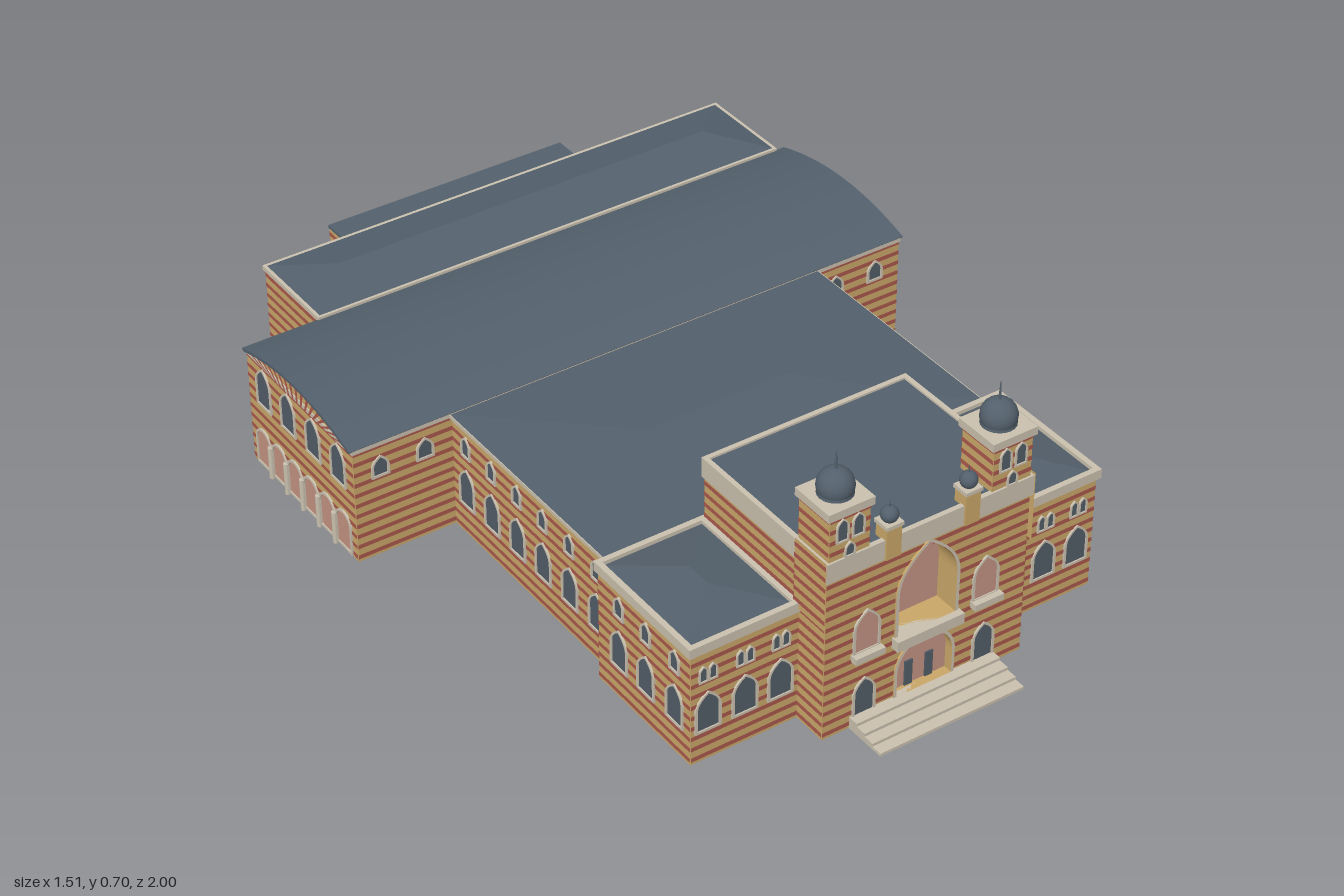
import * as THREE from 'three';
import { mergeGeometries } from 'three/addons/utils/BufferGeometryUtils.js';

const paint = (name, color) => {
  const m = new THREE.MeshStandardMaterial({ color, side: THREE.DoubleSide });
  m.name = name;
  return m;
};
const stone = paint('sandstone', 0xc9a668);
const brick = paint('red brick', 0xa9584b);
brick.side = THREE.FrontSide;
const cream = paint('cream trim', 0xc9c0ae);
const slate = paint('slate', 0x53606c);
const glass = paint('window glass', 0x525c66);
const pink = paint('pink plaster', 0xc29282);

const PITCH = 0.028, BAND = 0.011;

export function createModel() {
  const model = new THREE.Group();
  const add = (name, geo, mat, parent = model) => {
    const m = new THREE.Mesh(geo, mat);
    m.name = name;
    parent.add(m);
    return m;
  };
  // box given by its limits
  const box = (name, mat, x0, x1, y0, y1, z0, z1) =>
    add(name, new THREE.BoxGeometry(x1 - x0, y1 - y0, z1 - z0), mat)
      .position.set((x0 + x1) / 2, (y0 + y1) / 2, (z0 + z1) / 2);

  // arched openings: rise and half width at a height
  const rise = o => Math.min(o.w * (o.round ? 0.5 : 0.75), (o.y1 - o.y0) * 0.7);
  const half = (o, t) => o.w / 2 * (o.round ? Math.sqrt(1 - t * t) : 1 - t ** 2.2);
  const halfAt = (o, y) => half(o, Math.min(1, Math.max(0, (y - o.y1 + rise(o)) / rise(o))));
  const archPoints = o => {
    const r = rise(o), right = [], left = [];
    for (let i = 0; i < 10; i++) {
      const t = i / 10, y = o.y1 - r + r * t;
      right.push(new THREE.Vector2(o.u + half(o, t), y));
      left.unshift(new THREE.Vector2(o.u - half(o, t), y));
    }
    return [new THREE.Vector2(o.u - o.w / 2, o.y0), new THREE.Vector2(o.u + o.w / 2, o.y0),
      ...right, new THREE.Vector2(o.u, o.y1), ...left];
  };

  // striped wall running left to right as seen from outside; c is the opening's world x or z
  function wall(name, x0, z0, x1, z1, y0, y1, openings = []) {
    const g = new THREE.Group();
    g.name = name;
    g.position.set(x0, 0, z0);
    g.rotation.y = Math.atan2(z0 - z1, x1 - x0);
    model.add(g);
    const len = Math.hypot(x1 - x0, z1 - z0);
    const start = Math.abs(x1 - x0) > Math.abs(z1 - z0) ? x0 : z0;
    const list = openings.map(o => ({ trim: 0.006, recess: 0, mat: glass, ...o, u: Math.abs(o.c - start) }));
    const shape = new THREE.Shape([[0, y0], [len, y0], [len, y1], [0, y1]].map(p => new THREE.Vector2(...p)));
    list.forEach(o => shape.holes.push(new THREE.Path(archPoints(o))));
    add('masonry', new THREE.ShapeGeometry(shape), stone, g);

    // brick courses, broken at the openings
    const bands = [];
    for (let y = Math.ceil(y0 / PITCH) * PITCH + 0.008; y + BAND < y1; y += PITCH) {
      const mid = y + BAND / 2;
      const cuts = list.filter(o => mid > o.y0 && mid < o.y1)
        .map(o => [o.u - halfAt(o, mid), o.u + halfAt(o, mid)]).sort((a, b) => a[0] - b[0]);
      let from = 0;
      for (const [a, b] of [...cuts, [len, len]]) {
        if (a - from > 0.002)
          bands.push(new THREE.PlaneGeometry(a - from, BAND).translate((a + from) / 2, mid, 0.0015));
        from = Math.max(from, b);
      }
    }
    if (bands.length) add('brickCourses', mergeGeometries(bands), brick, g);

    // surrounds and panes
    for (const o of list) {
      const outer = { ...o, w: o.w + 2 * o.trim, y0: o.y0 - o.trim, y1: o.y1 + o.trim };
      const ring = new THREE.Shape(archPoints(outer));
      ring.holes.push(new THREE.Path(archPoints(o)));
      add('archSurround', new THREE.ExtrudeGeometry(ring, { depth: o.recess + 0.005, bevelEnabled: false }),
        [cream, o.recess ? stone : cream], g).position.z = -o.recess;
      add('archPanel', new THREE.ShapeGeometry(new THREE.Shape(archPoints(o))), o.mat, g)
        .position.z = 0.002 - o.recess;
    }
    return g;
  }

  // rectangular rim around a roof
  function rim(name, x0, x1, z0, z1, y0, y1, t) {
    const rect = (d, C) => new C([[x0 + d, -z0 - d], [x0 + d, -z1 + d], [x1 - d, -z1 + d], [x1 - d, -z0 - d]]
      .map(p => new THREE.Vector2(...p)));
    const s = rect(0, THREE.Shape);
    s.holes.push(rect(t, THREE.Path));
    add(name, new THREE.ExtrudeGeometry(s, { depth: y1 - y0, bevelEnabled: false }).rotateX(-Math.PI / 2), cream)
      .position.y = y0;
  }

  // hipped roof with 45 degree hips in plan
  function hip(name, x0, x1, z0, z1, y, h) {
    const d = Math.min(x1 - x0, z1 - z0) / 2;
    const A = [x0, y, z1], B = [x1, y, z1], C = [x1, y, z0], D = [x0, y, z0];
    const P = [x0 + d, y + h, z1 - d], Q = [x1 - d, y + h, z1 - d];
    const R = [x1 - d, y + h, z0 + d], S = [x0 + d, y + h, z0 + d];
    const tris = [A, B, Q, A, Q, P, B, C, R, B, R, Q, C, D, S, C, S, R, D, A, P, D, P, S];
    const geo = new THREE.BufferGeometry();
    geo.setAttribute('position', new THREE.Float32BufferAttribute(tris.flat(), 3));
    geo.computeVertexNormals();
    add(name, geo, slate);
  }

  const row = (cs, y0, y1, w, extra = {}) => cs.map(c => ({ c, y0, y1, w, ...extra }));
  const MID = 0.0125;

  // main front block with a deep central niche
  wall('frontFacade', -0.25, 0.89, 0.275, 0.89, 0, 0.425, [
    { c: MID, y0: 0.195, y1: 0.412, w: 0.15, recess: 0.06, mat: pink, trim: 0.008 },
    { c: MID, y0: 0.03, y1: 0.165, w: 0.145, recess: 0.02, mat: pink, trim: 0.007, round: true },
    ...row([-0.145, 0.17], 0.025, 0.12, 0.048),
    ...row([-0.143, 0.168], 0.2, 0.3, 0.058, { mat: pink })]);
  wall('frontBlockRightSide', 0.275, 0.89, 0.275, 0.46, 0, 0.425);
  wall('frontBlockLeftSide', -0.25, 0.46, -0.25, 0.89, 0, 0.425);
  rim('frontBlockCornice', -0.255, 0.28, 0.455, 0.897, 0.42, 0.47, 0.012);
  box('frontBlockRoof', slate, -0.245, 0.27, 0.455, 0.465, 0.462, 0.888);
  box('balcony', cream, -0.075, 0.1, 0.168, 0.195, 0.83, 0.912);
  for (const s of [-1, 1]) {
    box('windowLedge', cream, MID + s * 0.156 - 0.038, MID + s * 0.156 + 0.038, 0.182, 0.198, 0.89, 0.91);
    box('door', glass, MID + s * 0.027 - 0.01, MID + s * 0.027 + 0.01, 0.03, 0.095, 0.87, 0.876);
  }
  for (let i = 0; i < 4; i++)
    box('step', cream, -0.18, 0.2, i * 0.0075, (i + 1) * 0.0075, 0.88, 1 - i * 0.0275);

  // domes with a finial
  function dome(x, y, z, r, tip) {
    add('dome', new THREE.SphereGeometry(r, 20, 14), slate).position.set(x, y, z);
    add('finial', new THREE.CylinderGeometry(0.001, r * 0.09, tip - y - r * 0.9, 8), slate)
      .position.set(x, (tip + y + r * 0.9) / 2, z);
  }

  // corner turrets and small pinnacles
  for (const s of [-1, 1]) {
    const x = MID + s * 0.2085, a = x - 0.051, b = x + 0.051, f = 0.892, k = 0.788;
    wall('turretFront', a, f, b, f, 0.468, 0.58, [
      ...row([x - 0.02, x + 0.02], 0.517, 0.568, 0.024, { trim: 0.004 }),
      { c: x, y0: 0.473, y1: 0.503, w: 0.02, trim: 0.004 }]);
    wall('turretSide', b, f, b, k, 0.468, 0.58);
    wall('turretBack', b, k, a, k, 0.468, 0.58);
    wall('turretSide', a, k, a, f, 0.468, 0.58);
    box('turretCap', cream, x - 0.058, x + 0.058, 0.577, 0.597, 0.782, 0.898);
    add('domeDrum', new THREE.CylinderGeometry(0.038, 0.04, 0.012, 20), slate).position.set(x, 0.602, 0.84);
    dome(x, 0.616, 0.84, 0.041, 0.7);
    const p = MID + s * 0.1015;
    box('pinnacle', stone, p - 0.019, p + 0.019, 0.42, 0.5, 0.864, 0.902);
    box('pinnacleCap', cream, p - 0.022, p + 0.022, 0.498, 0.507, 0.861, 0.905);
    dome(p, 0.522, 0.883, 0.02, 0.558);
    // striped pilaster below the turret on the outer side
    const e = MID + s * 0.269;
    if (s > 0) wall('cornerPilaster', e, 0.898, e, 0.79, 0.3, 0.475);
    else wall('cornerPilaster', e, 0.79, e, 0.898, 0.3, 0.475);
  }

  // front wings
  const wingSide = [...row([0.745, 0.64, 0.54], 0.085, 0.178, 0.052), ...row([0.745, 0.64, 0.54], 0.222, 0.268, 0.026)];
  for (const [x0, x1, cs] of [[-0.52, -0.25, [-0.478, -0.385, -0.295]], [0.275, 0.54, [0.315, 0.404, 0.494]]]) {
    wall('wingFront', x0, 0.8, x1, 0.8, 0, 0.3, [...row(cs, 0.085, 0.178, 0.054),
      ...row(cs.flatMap(c => [c - 0.012, c + 0.012]), 0.215, 0.25, 0.015, { trim: 0.004 })]);
    rim('wingParapet', x0 - (x0 < 0 ? 0.008 : 0), x1 + (x0 > 0 ? 0.008 : 0), 0.455, 0.808, 0.292, 0.316, 0.014);
    hip('wingRoof', x0, x1, 0.462, 0.798, 0.305, 0.027);
  }
  wall('wingRightSide', 0.54, 0.8, 0.54, 0.46, 0, 0.3, wingSide);
  wall('wingLeftSide', -0.52, 0.46, -0.52, 0.8, 0, 0.3, wingSide);

  // middle range
  const bays = [0.41, 0.305, 0.2, 0.097, -0.007, -0.112];
  const midSide = [...row(bays, 0.085, 0.178, 0.052), ...row(bays, 0.222, 0.268, 0.026)];
  wall('middleRightSide', 0.5, 0.46, 0.5, -0.17, 0, 0.3, midSide);
  wall('middleLeftSide', -0.49, -0.17, -0.49, 0.46, 0, 0.3, midSide);
  rim('middleEaves', -0.497, 0.507, -0.17, 0.46, 0.293, 0.303, 0.012);
  hip('middleRoof', -0.495, 0.505, -0.17, 0.46, 0.303, 0.019);

  // vaulted cross hall
  const HZ = -0.405, HW = 0.238, RISE = 0.038;
  const arc = v => 0.3 + RISE * (1 - (v / HW) ** 2);
  const arcPts = (lift, w, n = 24) => Array.from({ length: n + 1 }, (_, i) => {
    const v = w * (2 * i / n - 1);
    return new THREE.Vector2(v, arc(v * HW / w) + lift);
  });
  wall('hallFrontLeft', -0.743, -0.17, -0.49, -0.17, 0, 0.3, row([-0.677, -0.563], 0.218, 0.264, 0.034));
  wall('hallFrontRight', 0.5, -0.17, 0.743, -0.17, 0, 0.3, row([0.559, 0.673], 0.218, 0.264, 0.034));
  wall('hallBackRight', 0.743, -0.64, 0.725, -0.64, 0, 0.3);
  wall('hallBackLeft', -0.555, -0.64, -0.743, -0.64, 0, 0.3);
  rim('hallEaves', -0.746, 0.746, -0.643, -0.167, 0.295, 0.306, 0.01);
  const arches = [-0.225, -0.297, -0.369, -0.441, -0.513, -0.585];
  const hallEnd = [...row([-0.235, -0.345, -0.457, -0.567], 0.188, 0.285, 0.055),
    ...row(arches, 0.012, 0.105, 0.056, { mat: pink, round: true })];
  for (const s of [-1, 1]) {
    const x = s * 0.743;
    const g = s > 0 ? wall('hallEnd', x, -0.17, x, -0.64, 0, 0.3, hallEnd) : wall('hallEnd', x, -0.64, x, -0.17, 0, 0.3, hallEnd);
    add('gable', new THREE.ShapeGeometry(new THREE.Shape(arcPts(0, 0.235))), stone, g).position.x = 0.235;
    // fan of brick rays in the gable
    const rays = [];
    for (let k = -0.88; k <= 0.881; k += 0.11) {
      const at = q => new THREE.Vector2(q * 0.235, arc(q * 0.235));
      rays.push(new THREE.ShapeGeometry(new THREE.Shape([new THREE.Vector2((k - 0.02) * 0.16, 0.294),
        new THREE.Vector2((k + 0.02) * 0.16, 0.294), at(k + 0.025), at(k - 0.025)])));
    }
    add('gableRays', mergeGeometries(rays), brick, g).position.set(0.235, 0, 0.0045);
    // arcade columns
    for (let i = 0; i < 5; i++)
      add('arcadeColumn', new THREE.CylinderGeometry(0.007, 0.007, 0.085, 10), cream)
        .position.set(x + s * 0.006, 0.0425, (arches[i] + arches[i + 1]) / 2);
  }
  const shell = new THREE.Shape([...arcPts(0.008, 0.24), ...arcPts(0.001, 0.234).reverse()]);
  add('hallVault', new THREE.ExtrudeGeometry(shell, { depth: 1.504, bevelEnabled: false })
    .rotateY(Math.PI / 2), slate).position.set(-0.752, 0, HZ);

  // rear range and annex
  wall('rearRightSide', 0.722, -0.64, 0.722, -0.895, 0, 0.31);
  wall('rearBack', 0.722, -0.895, -0.552, -0.895, 0, 0.31);
  wall('rearLeftSide', -0.552, -0.895, -0.552, -0.64, 0, 0.31);
  rim('rearEaves', -0.557, 0.727, -0.9, -0.64, 0.305, 0.316, 0.012);
  hip('rearRoof', -0.553, 0.723, -0.896, -0.643, 0.315, 0.03);
  wall('annexRightSide', 0.328, -0.895, 0.328, -0.998, 0, 0.283);
  wall('annexBack', 0.328, -0.998, -0.323, -0.998, 0, 0.283);
  wall('annexLeftSide', -0.323, -0.998, -0.323, -0.895, 0, 0.283);
  box('annexRoof', slate, -0.325, 0.33, 0.281, 0.288, -1, -0.895);

  return model;
}
